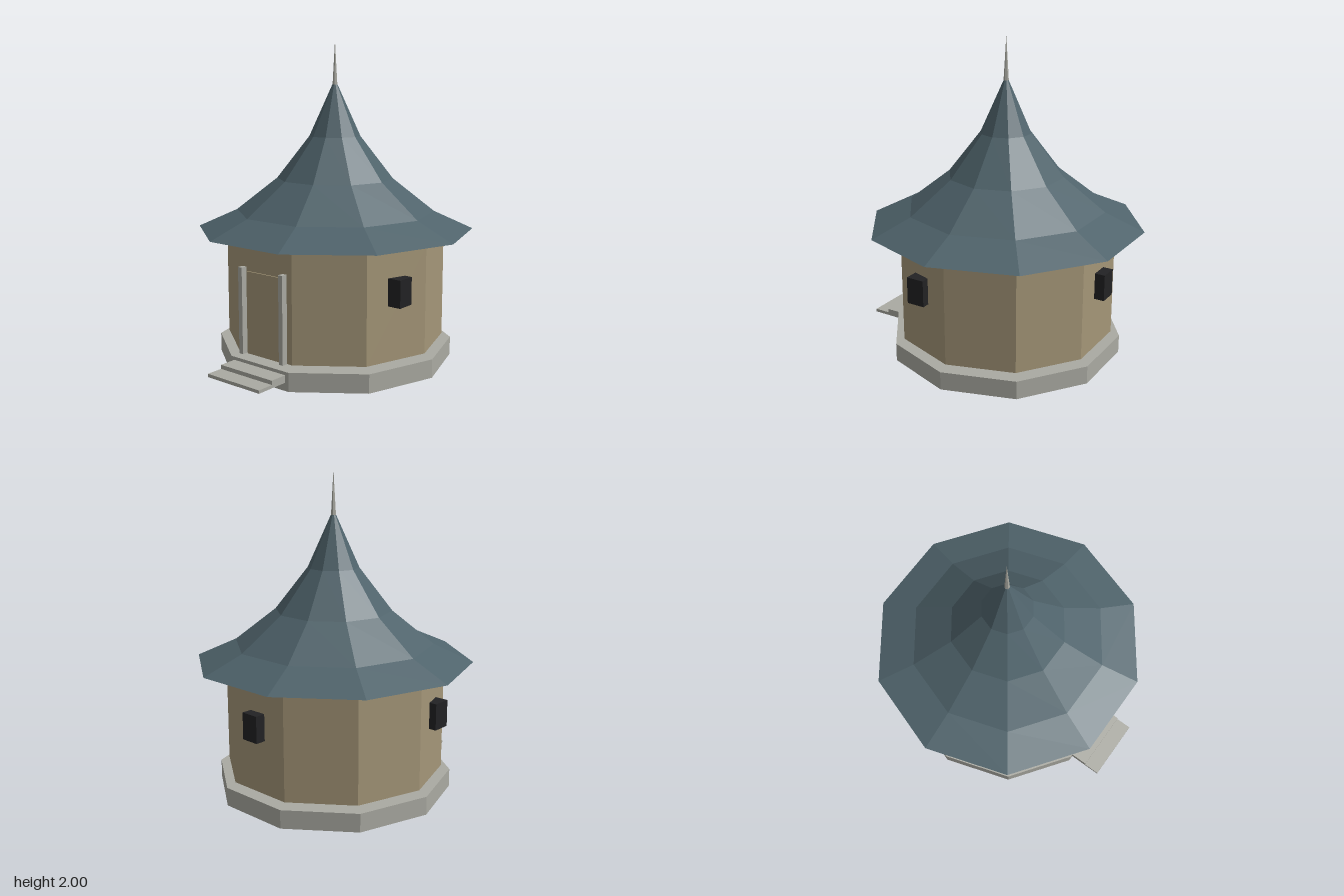
import * as THREE from 'three';

export function createModel() {
  const model = new THREE.Group();
  model.name = 'pavilion';

  const material = (name, color) => {
    const m = new THREE.MeshStandardMaterial({ color, flatShading: true });
    m.name = name;
    return m;
  };
  const wallTan = material('wallTan', 0xa49678);
  const stoneGrey = material('stoneGrey', 0xaaaaa2);
  const roofSlate = material('roofSlate', 0x4f636b);
  const windowBlack = material('windowBlack', 0x222224);

  const SIDES = 10;
  const START = Math.PI / 2; // puts a corner on +x and a flat face on the front
  const AXIS_Z = -0.045;

  const add = (name, geometry, mat, x = 0, y = 0, z = 0) => {
    const mesh = new THREE.Mesh(geometry, mat);
    mesh.name = name;
    mesh.position.set(x, y, z);
    model.add(mesh);
    return mesh;
  };
  // Ten-sided drum between two heights
  const drum = (name, radius, y0, y1, mat) =>
    add(name, new THREE.CylinderGeometry(radius, radius, y1 - y0, SIDES, 1, false, START),
      mat, 0, (y0 + y1) / 2, AXIS_Z);
  // Box given by its minimum and maximum corners
  const block = (name, a, b, mat) =>
    add(name, new THREE.BoxGeometry(b[0] - a[0], b[1] - a[1], b[2] - a[2]), mat,
      (a[0] + b[0]) / 2, (a[1] + b[1]) / 2, (a[2] + b[2]) / 2);

  // Body
  drum('foundation', 0.745, 0, 0.115, stoneGrey);
  drum('walls', 0.69, 0.14, 0.8, wallTan);
  drum('cornice', 0.71, 0.8, 0.83, stoneGrey);

  // Flared roof with a flat underside
  const profile = [
    [0, 0.83], [0.87, 0.83], [0.625, 0.94], [0.365, 1.145], [0.16, 1.41], [0.016, 1.73], [0, 1.73],
  ].map(([r, y]) => new THREE.Vector2(r, y));
  add('roof', new THREE.LatheGeometry(profile, SIDES, START), roofSlate, 0, 0, AXIS_Z);

  // Finial
  add('finial', new THREE.ConeGeometry(0.016, 0.27, 6, 1, false, START), stoneGrey, 0, 1.865, AXIS_Z);

  // Door and its posts
  block('door', [-0.135, 0.14, 0.6], [0.135, 0.645, 0.62], wallTan);
  for (const side of [-1, 1]) {
    const x = side * 0.16;
    block(side > 0 ? 'leftDoorPost' : 'rightDoorPost',
      [x - 0.015, 0.14, 0.61], [x + 0.015, 0.67, 0.65], stoneGrey);
  }

  // Front steps
  block('upperStep', [-0.205, 0.055, 0.64], [0.205, 0.095, 0.775], stoneGrey);
  block('lowerStep', [-0.205, 0.05, 0.64], [0.205, 0.07, 0.88], stoneGrey);

  // Box windows on both sides and at the back
  block('leftWindow', [0.575, 0.475, 0.105], [0.69, 0.64, 0.22], windowBlack);
  block('rightWindow', [-0.69, 0.475, 0.105], [-0.575, 0.64, 0.22], windowBlack);
  block('backWindow', [-0.0575, 0.475, -0.765], [0.0575, 0.64, -0.65], windowBlack);

  return model;
}
